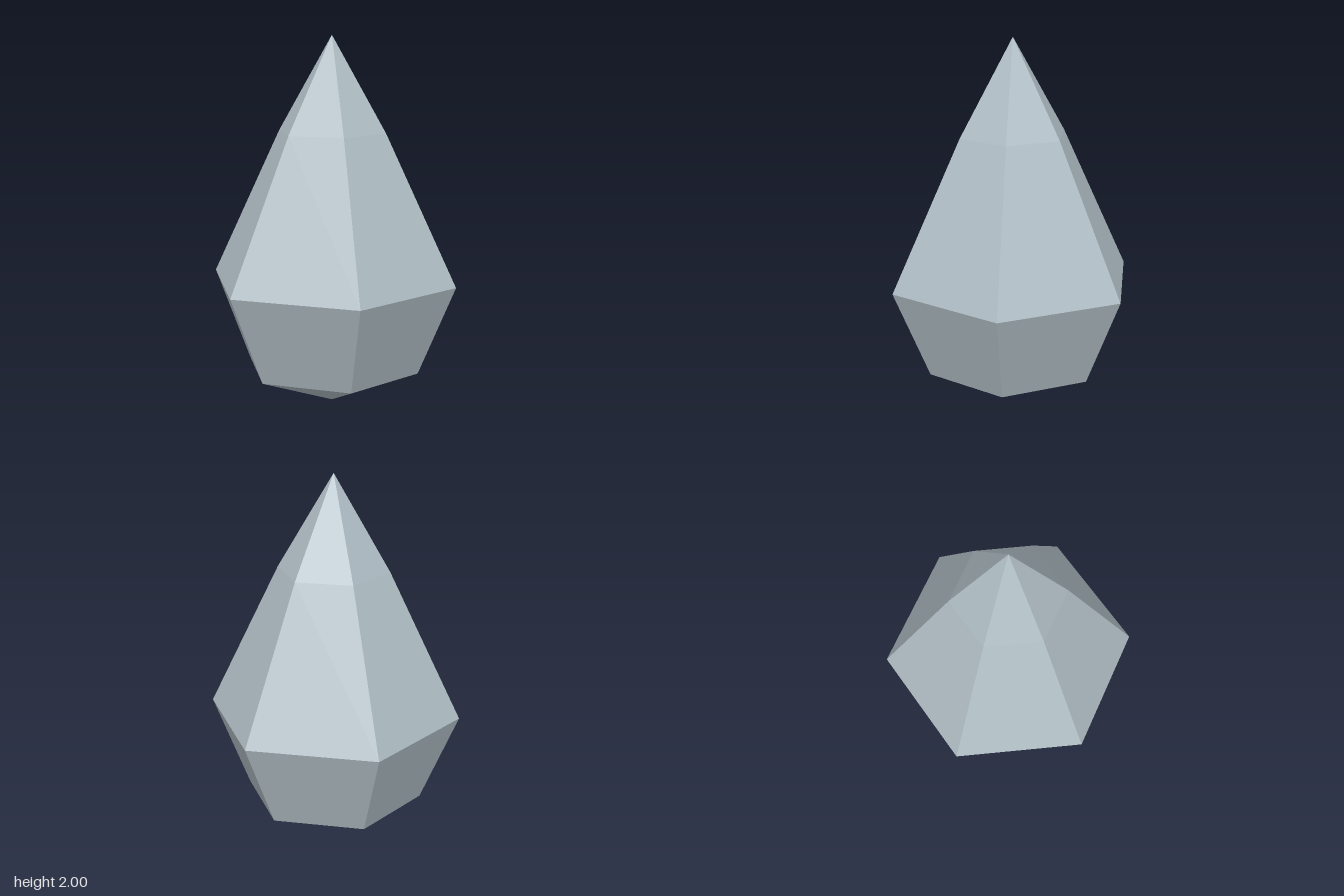
import * as THREE from 'three';

export function createModel() {
  const model = new THREE.Group();
  model.name = 'crystal';

  const paleBlueGrey = new THREE.MeshStandardMaterial({ color: 0xb0bec5, flatShading: true });
  paleBlueGrey.name = 'paleBlueGrey';

  // Six-sided gem: pointed base, flared belt, shoulder ring and tip (radius, height)
  const profile = [
    [0, 0],
    [0.487, 0.2],
    [0.688, 0.69],
    [0.3, 1.49],
    [0, 2],
  ].map(([r, y]) => new THREE.Vector2(r, y));

  const gem = new THREE.Mesh(new THREE.LatheGeometry(profile, 6), paleBlueGrey);
  gem.name = 'gem';
  model.add(gem);

  return model;
}
